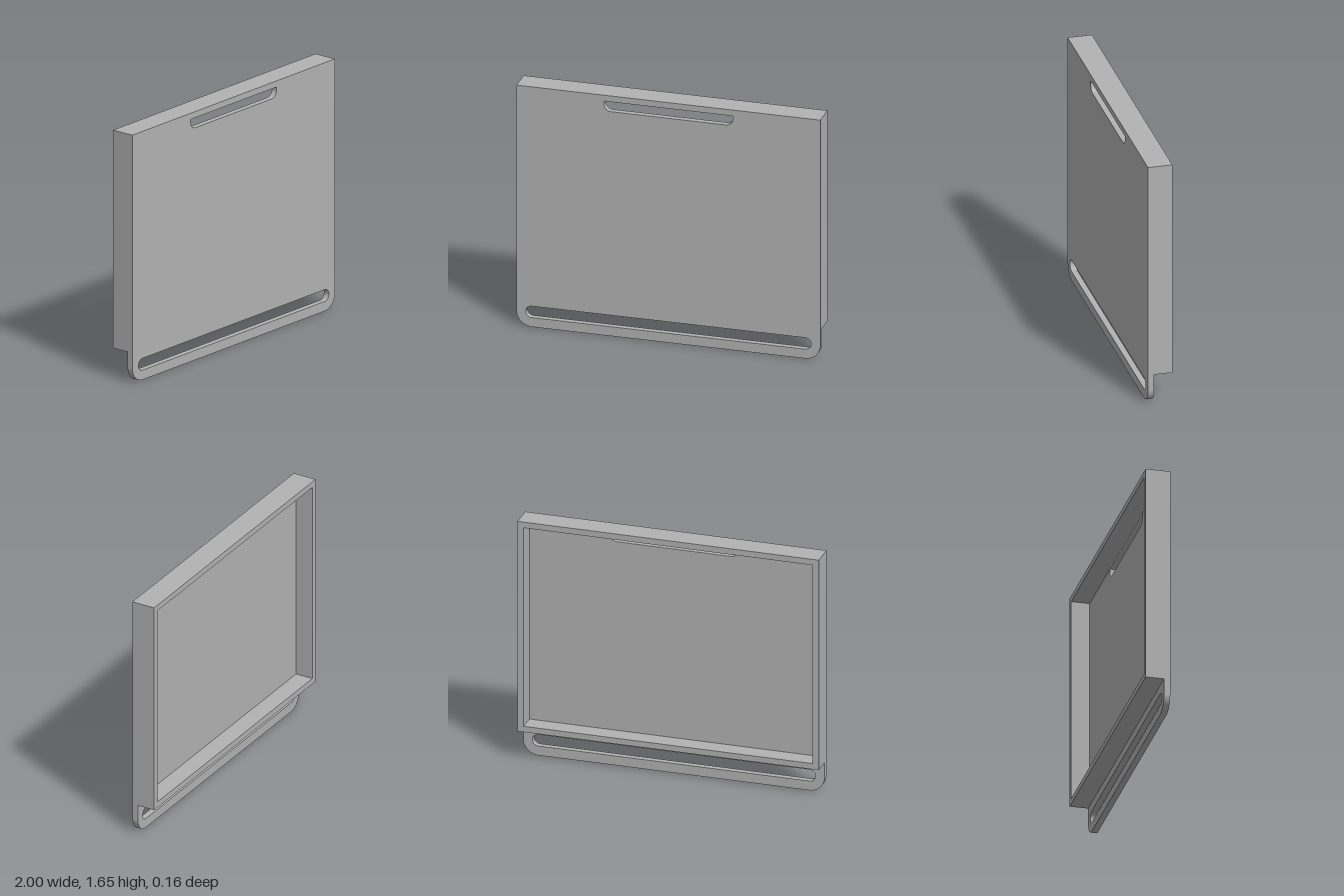
import * as THREE from 'three';

const TOP = 1.655, FRONT = 0.08, SEAM = 0.04, BACK = -0.08;

// Rectangle with separate radii for the bottom and top corners
function roundedRect(path, x, y0, y1, rBottom, rTop) {
  const q = Math.PI / 2;
  path.moveTo(-x + rBottom, y0);
  path.lineTo(x - rBottom, y0);
  if (rBottom) path.absarc(x - rBottom, y0 + rBottom, rBottom, -q, 0, false);
  path.lineTo(x, y1 - rTop);
  if (rTop) path.absarc(x - rTop, y1 - rTop, rTop, 0, q, false);
  path.lineTo(-x + rTop, y1);
  if (rTop) path.absarc(-x + rTop, y1 - rTop, rTop, q, 2 * q, false);
  path.lineTo(-x, y0 + rBottom);
  if (rBottom) path.absarc(-x + rBottom, y0 + rBottom, rBottom, 2 * q, 3 * q, false);
  path.closePath();
  return path;
}

function extruded(name, shape, z0, z1, material) {
  const geometry = new THREE.ExtrudeGeometry(shape, { depth: z1 - z0, bevelEnabled: false, curveSegments: 16 });
  geometry.translate(0, 0, z0);
  const mesh = new THREE.Mesh(geometry, material);
  mesh.name = name;
  return mesh;
}

export function createModel() {
  const grey = new THREE.MeshStandardMaterial({ color: 0xb2b2b2 });
  grey.name = 'grey';

  // Front panel with a long slot at the bottom and a grip slot at the top
  const panel = roundedRect(new THREE.Shape(), 1, 0, TOP, 0.1, 0);
  panel.holes.push(
    roundedRect(new THREE.Path(), 0.94, 0.064, 0.143, 0.0395, 0.0395),
    roundedRect(new THREE.Path(), 0.425, 1.547, 1.614, 0.048, 0)
  );

  // Raised rim around the back
  const rim = roundedRect(new THREE.Shape(), 1, 0.203, TOP, 0, 0);
  const opening = new THREE.Path();
  rim.holes.push(roundedRect(opening, 0.96, 0.243, 1.615, 0, 0));

  const model = new THREE.Group();
  model.name = 'slottedTray';
  model.add(
    extruded('frontPanel', panel, SEAM, FRONT, grey),
    extruded('backRim', rim, BACK, SEAM, grey)
  );
  return model;
}
